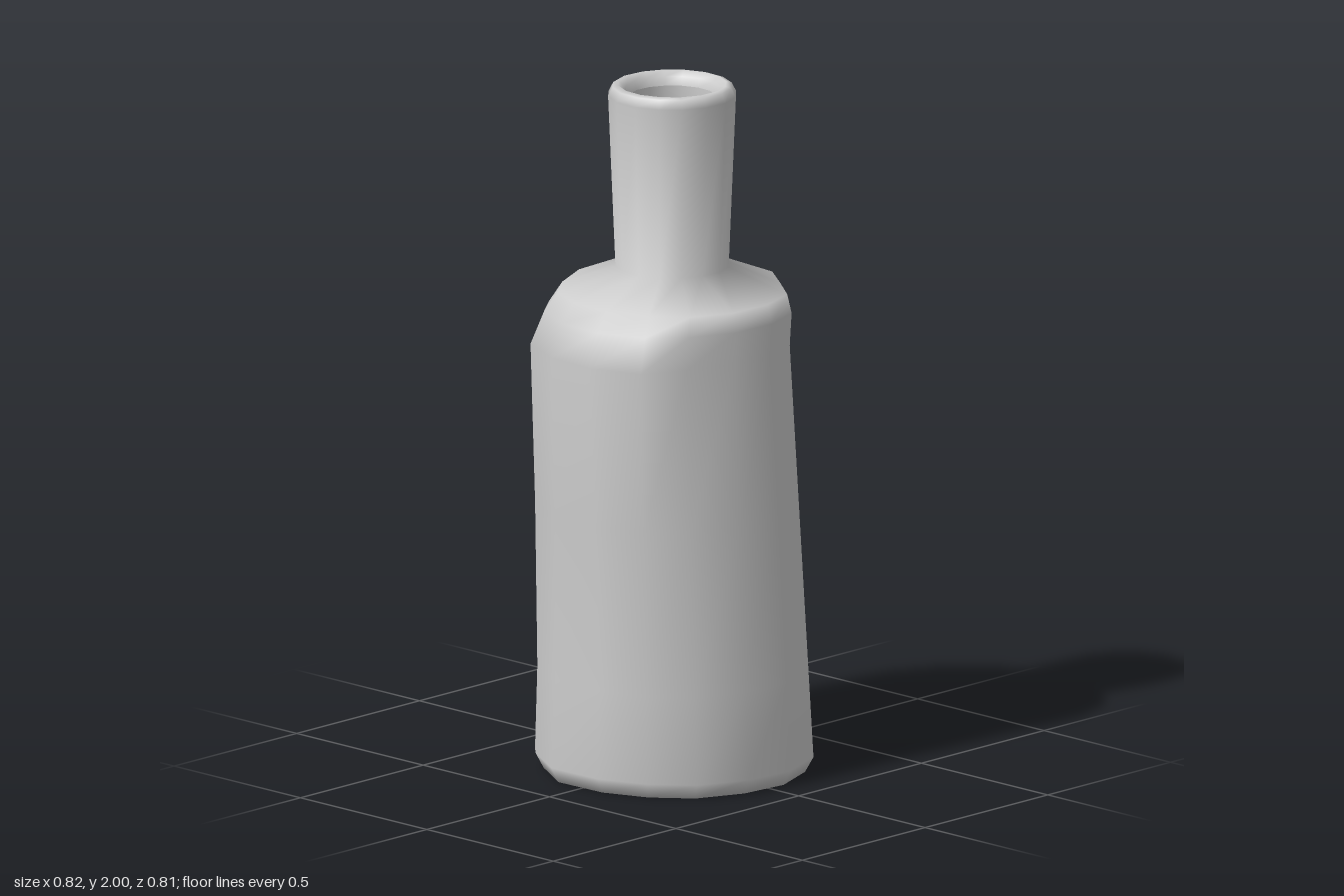
import * as THREE from 'three';

// Irregular body columns, walking from +x towards +z: [low x,z, high x,z, shoulder x,z]
const COLUMNS = [
  [0.41, -0.06, 0.335, -0.055, 0.325, -0.055],
  [0.395, 0.095, 0.33, 0.085, 0.32, 0.08],
  [0.33, 0.24, 0.27, 0.215, 0.265, 0.2],
  [0.22, 0.33, 0.21, 0.345, 0.17, 0.27],
  [0.08, 0.385, 0.06, 0.4, 0.05, 0.32],
  [-0.1, 0.39, -0.1, 0.39, -0.085, 0.315],
  [-0.25, 0.3, -0.25, 0.32, -0.2, 0.26],
  [-0.3, 0.25, -0.31, 0.235, -0.27, 0.17],
  [-0.405, 0.05, -0.41, 0.05, -0.33, 0.04],
  [-0.395, -0.105, -0.395, -0.105, -0.315, -0.085],
  [-0.33, -0.25, -0.33, -0.25, -0.265, -0.2],
  [-0.21, -0.36, -0.26, -0.315, -0.17, -0.27],
  [-0.05, -0.395, -0.06, -0.345, -0.05, -0.32],
  [0.1, -0.405, 0.085, -0.335, 0.08, -0.325],
  [0.225, -0.31, 0.19, -0.26, 0.185, -0.25],
  [0.35, -0.215, 0.29, -0.18, 0.285, -0.175],
];
const LOW = 0.045, HIGH = 1.25, SHOULDER = 1.4;

const mix = (c, a, b, t) => [c[a] + (c[b] - c[a]) * t, c[a + 1] + (c[b + 1] - c[a + 1]) * t];

// Ring following the body columns, with an optional scale and dent
function bodyRing(y, scale = 1, dent = 1) {
  return COLUMNS.map((c, j) => {
    let [x, z] = y <= HIGH
      ? mix(c, 0, 2, Math.max(0, (y - LOW) / (HIGH - LOW)))
      : mix(c, 2, 4, (y - HIGH) / (SHOULDER - HIGH));
    if (j >= 4 && j <= 7) z *= dent;              // shallow hollow on the front
    if (j === 12 && y > 0.7 && y < 0.9) z = -0.388; // bulge on the back
    return [x * scale, y, z * scale];
  });
}

// Round ring using the same column directions
function roundRing(y, r) {
  return COLUMNS.map((c) => {
    const a = Math.atan2(c[5], c[4]);
    return [r * Math.cos(a), y, r * Math.sin(a)];
  });
}

// Skin a list of rings with smooth normals
function loft(rings) {
  const n = COLUMNS.length, index = [];
  for (let i = 0; i < rings.length - 1; i++) {
    for (let j = 0; j < n; j++) {
      const k = (j + 1) % n;
      const a = i * n + j, b = i * n + k, c = a + n, d = b + n;
      index.push(a, c, b, b, c, d);
    }
  }
  const geo = new THREE.BufferGeometry();
  geo.setAttribute('position', new THREE.Float32BufferAttribute(rings.flat(2), 3));
  geo.setIndex(index);
  geo.computeVertexNormals();
  return geo;
}

export function createModel() {
  const group = new THREE.Group();
  group.name = 'bottle';
  const grey = new THREE.MeshStandardMaterial({ color: 0xcccccc });
  grey.name = 'lightGrey';

  // Outer wall: base, faceted body, shoulder, flared neck and rounded lip
  const outer = new THREE.Mesh(loft([
    roundRing(0, 0),
    bodyRing(0, 0.94),
    bodyRing(LOW),
    bodyRing(0.3, 1, 0.96),
    bodyRing(0.78, 1, 0.965),
    bodyRing(HIGH),
    bodyRing(1.345, 1.03),
    bodyRing(SHOULDER),
    roundRing(1.47, 0.163),
    roundRing(1.97, 0.184),
    roundRing(1.995, 0.171),
    roundRing(2, 0.155),
    roundRing(1.985, 0.134),
    roundRing(1.96, 0.127),
  ]), grey);
  outer.name = 'bottleWall';

  // Hollow inside, from the lip down to the floor
  const inner = new THREE.Mesh(loft([
    roundRing(1.96, 0.127),
    roundRing(1.47, 0.122),
    roundRing(1.36, 0.26),
    roundRing(0.07, 0.28),
    roundRing(0.04, 0.25),
    roundRing(0.04, 0),
  ]), grey);
  inner.name = 'bottleInside';

  group.add(outer, inner);
  return group;
}
